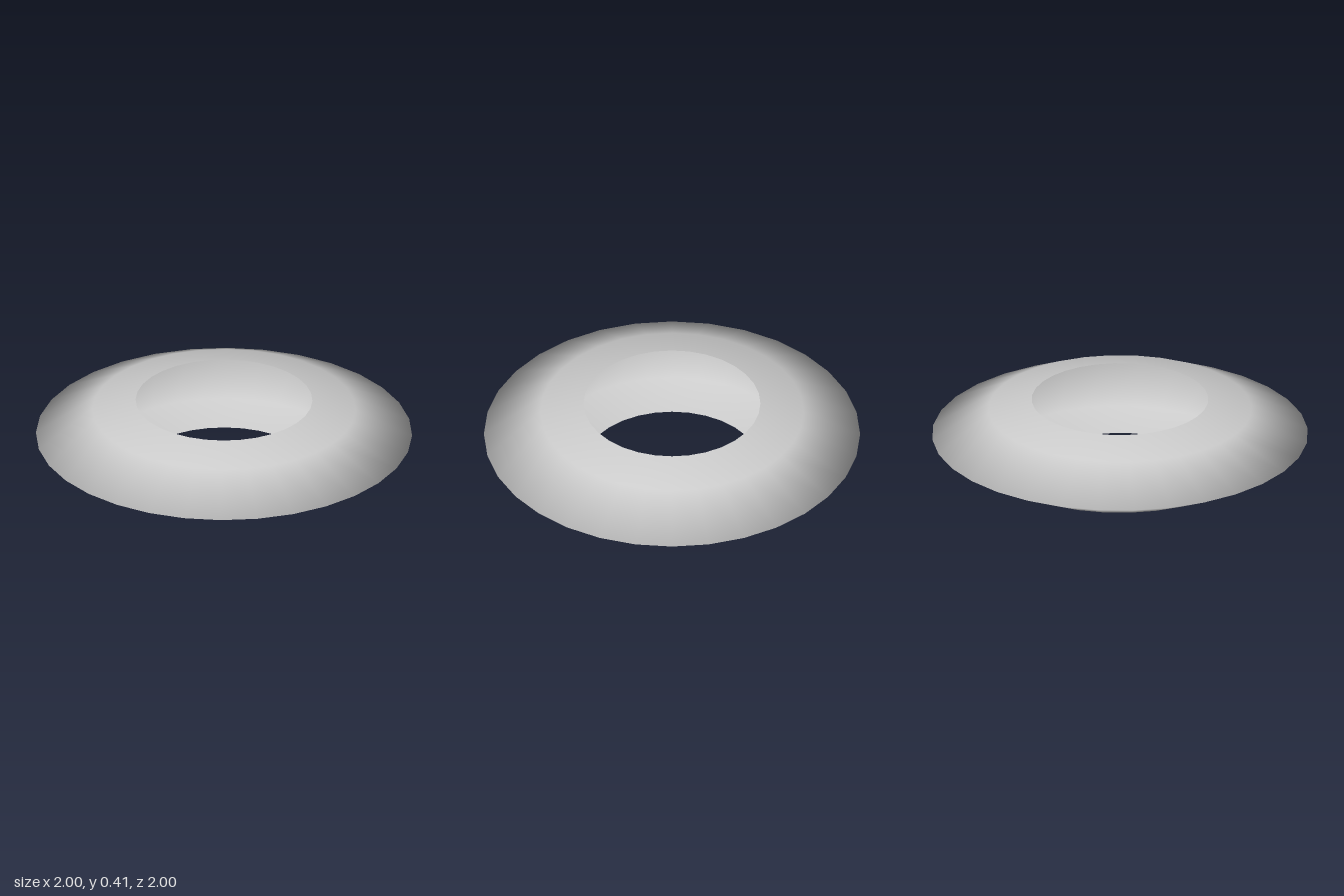
import * as THREE from 'three';

export function createModel() {
  const group = new THREE.Group();
  group.name = 'ring';

  // Lens-shaped shell, open at the centre, swept from the bottom rim to the top rim
  const midY = 0.203;
  const lower = [[0.47, -0.203], [0.7, -0.147]];
  const upper = lower.map(([r, y]) => [r, -y]).reverse();
  const profile = [...lower, [1, 0], ...upper].map(([r, y]) => new THREE.Vector2(r, y + midY));

  const shell = new THREE.Mesh(
    new THREE.LatheGeometry(profile, 32),
    new THREE.MeshStandardMaterial({ color: 0xcccccc, side: THREE.DoubleSide })
  );
  shell.name = 'ringShell';
  group.add(shell);
  return group;
}
